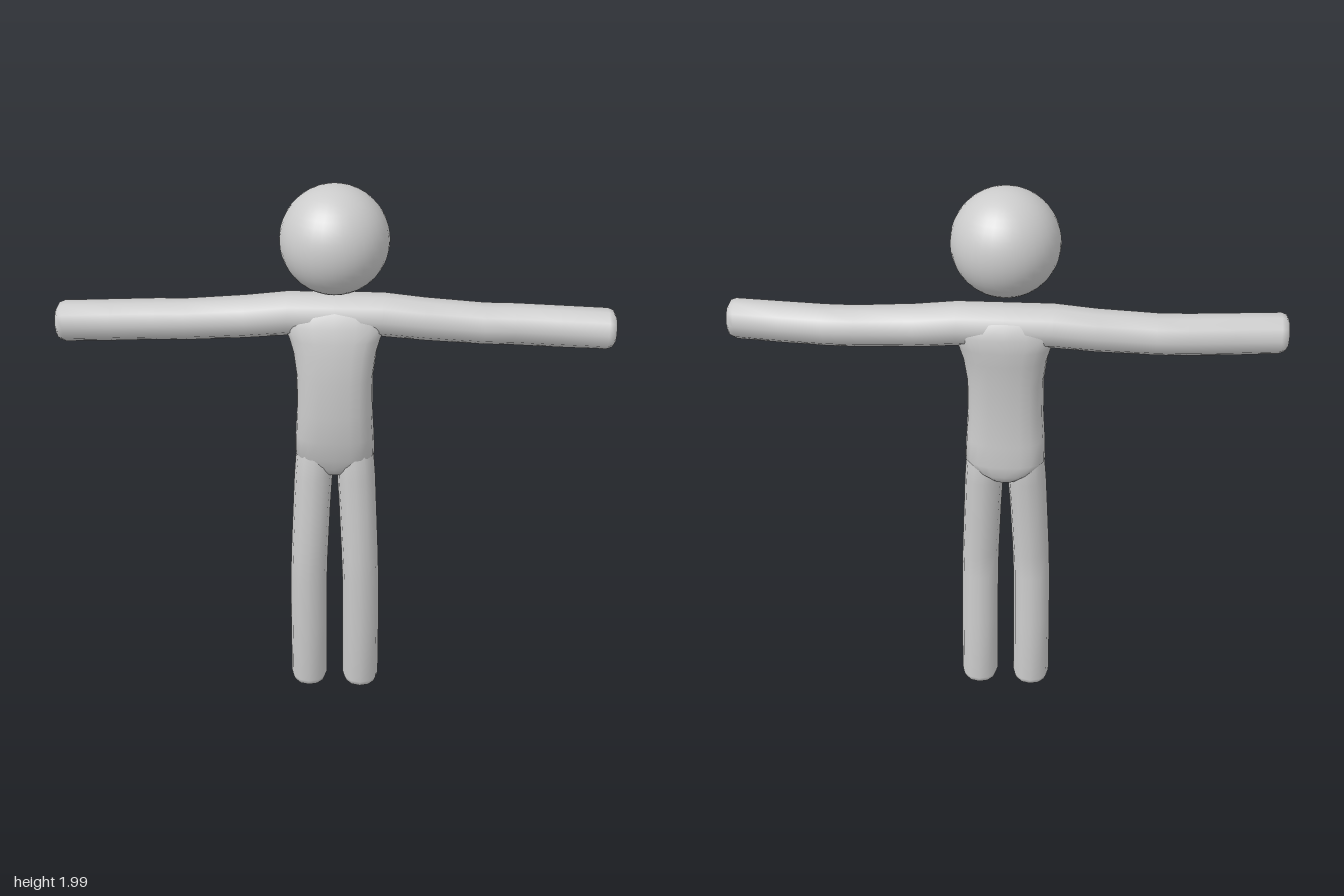
import * as THREE from 'three';

const material = new THREE.MeshStandardMaterial({ color: 0xcccccc });

// Closed skin over superellipse rings [t, centreA, halfA, centreB, halfB];
// place(a, t, b) turns ring coordinates into a right-handed x, y, z.
function loft(name, rings, sides, power, place) {
  const positions = [], index = [];
  const bend = (v) => Math.sign(v) * Math.abs(v) ** (2 / power);
  const first = rings[0], last = rings[rings.length - 1];
  const tip = ([t, a, , b]) => [t, a, 0, b, 0];
  const all = [tip(first), ...rings, tip(last)];
  all.forEach(([t, ca, ha, cb, hb], i) => {
    for (let j = 0; j < sides; j++) {
      const angle = (j / sides) * Math.PI * 2;
      positions.push(...place(ca + ha * bend(Math.cos(angle)), t, cb + hb * bend(Math.sin(angle))));
      if (i === all.length - 1) continue;
      const p = i * sides + j, q = i * sides + ((j + 1) % sides);
      index.push(p, p + sides, q, q, p + sides, q + sides);
    }
  });
  const geometry = new THREE.BufferGeometry();
  geometry.setAttribute('position', new THREE.Float32BufferAttribute(positions, 3));
  geometry.setIndex(index);
  geometry.computeVertexNormals();
  const mesh = new THREE.Mesh(geometry, material);
  mesh.name = name;
  return mesh;
}

const upright = (a, t, b) => [a, t, b];
const sideways = (a, t, b) => [t, b, a];

export function createModel() {
  const group = new THREE.Group();

  // Floating round head
  const head = new THREE.Mesh(new THREE.SphereGeometry(0.18, 32, 24), material);
  head.name = 'head';
  head.position.y = 1.82;
  group.add(head);

  // Torso, leaning slightly and flaring into the shoulders
  group.add(loft('torso', [
    [0.945, 0, 0.05, -0.03, 0.055],
    [0.975, 0, 0.1, -0.03, 0.072],
    [1.02, 0, 0.14, -0.025, 0.084],
    [1.1, 0, 0.137, -0.013, 0.09],
    [1.2, 0, 0.131, -0.008, 0.092],
    [1.33, 0, 0.131, -0.01, 0.093],
    [1.42, 0, 0.143, -0.02, 0.095],
    [1.47, 0, 0.158, -0.027, 0.092],
    [1.52, 0, 0.18, -0.033, 0.087],
    [1.57, 0, 0.17, -0.037, 0.066],
    [1.61, 0, 0.15, -0.036, 0.025],
  ], 20, 2.6, upright));

  // Both arms as one limb, from the shoulders out to rounded stubs
  const arm = [
    [0, -0.036, 0.074, 1.541, 0.074],
    [0.16, -0.036, 0.074, 1.541, 0.074],
    [0.3, -0.034, 0.072, 1.528, 0.072],
    [0.5, -0.029, 0.068, 1.517, 0.07],
    [0.6, -0.027, 0.068, 1.517, 0.07],
    [0.75, -0.014, 0.067, 1.517, 0.07],
    [0.905, 0, 0.066, 1.518, 0.069],
    [0.923, 0.002, 0.06, 1.518, 0.062],
    [0.932, 0.002, 0.045, 1.518, 0.046],
  ];
  const mirrored = arm.slice(1).reverse().map(([t, ...rest]) => [-t, ...rest]);
  group.add(loft('arms', [...mirrored, ...arm], 10, 2.1, sideways));

  // Legs with a slight bend at the knee
  for (const [name, side] of [['leftLeg', 1], ['rightLeg', -1]]) {
    group.add(loft(name, [
      [0.008, 0.098, 0.045, -0.018, 0.047],
      [0.014, 0.098, 0.06, -0.018, 0.063],
      [0.035, 0.098, 0.068, -0.018, 0.07],
      [0.3, 0.097, 0.068, -0.007, 0.069],
      [0.5, 0.095, 0.067, 0.003, 0.067],
      [0.6, 0.092, 0.067, 0.003, 0.067],
      [0.8, 0.083, 0.067, -0.006, 0.067],
      [0.93, 0.076, 0.068, -0.015, 0.069],
      [1.03, 0.07, 0.066, -0.02, 0.07],
      [1.08, 0.067, 0.05, -0.02, 0.055],
    ].map(([t, x, ...rest]) => [t, side * x, ...rest]), 12, 2.1, upright));
  }
  return group;
}
